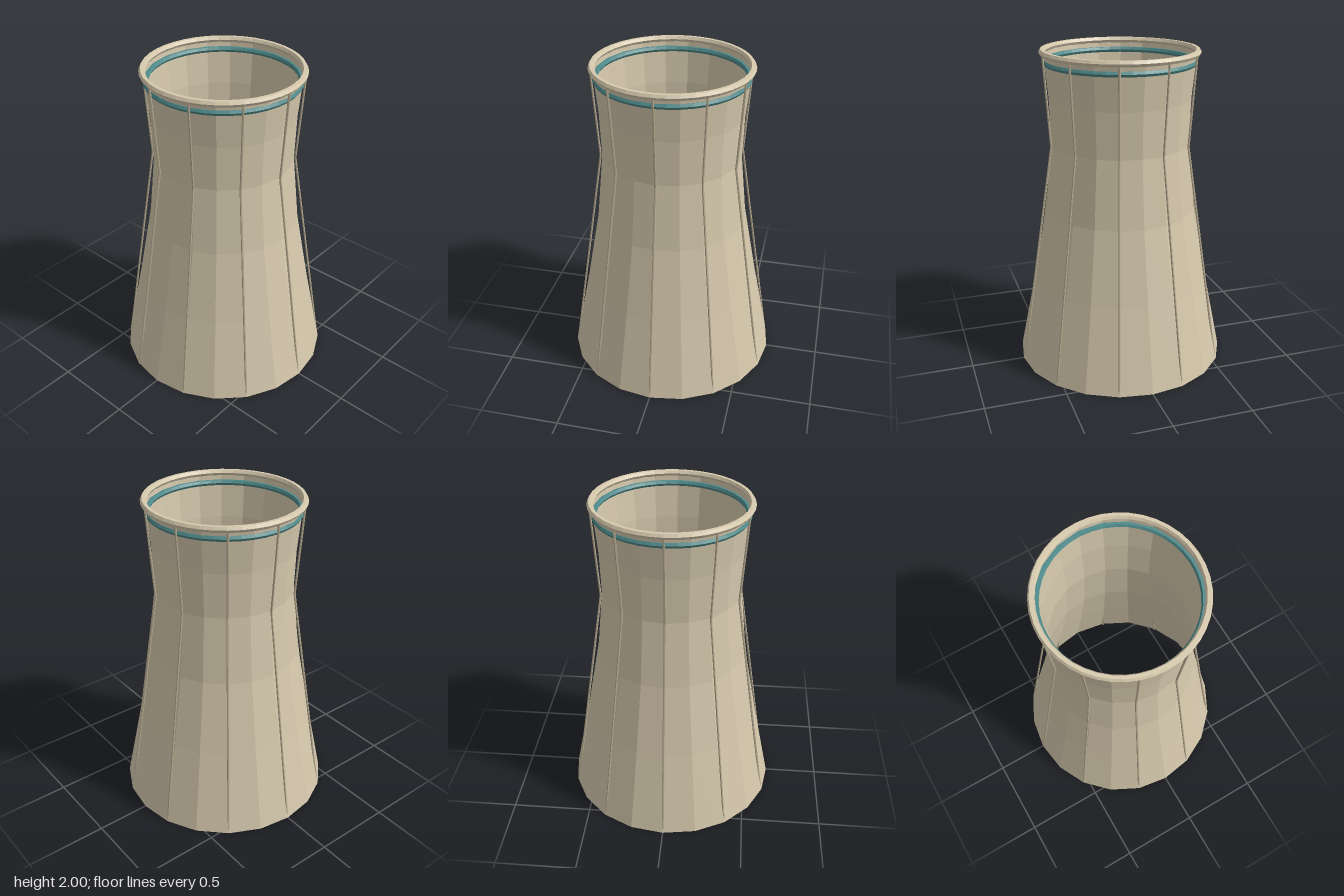
import * as THREE from 'three';

const concrete = new THREE.MeshStandardMaterial({ color: 0xd6c9ad, flatShading: true, side: THREE.DoubleSide });
concrete.name = 'concrete';
const ribConcrete = new THREE.MeshStandardMaterial({ color: 0xb8ac92, flatShading: true });
ribConcrete.name = 'rib concrete';
const teal = new THREE.MeshStandardMaterial({ color: 0x4f8a8b, flatShading: true });
teal.name = 'teal paint';

const V = (x, y) => new THREE.Vector3(x, y, 0);

// Straight round bar between two points
function bar(a, b, radius) {
  const dir = b.clone().sub(a);
  const mesh = new THREE.Mesh(new THREE.CylinderGeometry(radius, radius, dir.length(), 6), ribConcrete);
  mesh.position.copy(a).add(b).multiplyScalar(0.5);
  mesh.quaternion.setFromUnitVectors(new THREE.Vector3(0, 1, 0), dir.normalize());
  return mesh;
}

// Horizontal ring
function ring(name, radius, tube, y, material, sides) {
  const mesh = new THREE.Mesh(new THREE.TorusGeometry(radius, tube, sides, 40), material);
  mesh.name = name;
  mesh.rotation.x = Math.PI / 2;
  mesh.position.y = y;
  return mesh;
}

export function createModel() {
  const model = new THREE.Group();
  model.name = 'coolingTower';

  // Open, waisted shell with 20 sides
  const profile = [[0.665, 0], [0.555, 0.54], [0.471, 1.0], [0.429, 1.42], [0.437, 1.7], [0.463, 1.975]]
    .map(([r, y]) => new THREE.Vector2(r, y));
  const shell = new THREE.Mesh(new THREE.LatheGeometry(profile, 20), concrete);
  shell.name = 'shell';
  model.add(shell);

  // Rolled lip at the top and painted band just below it
  model.add(ring('topRim', 0.468, 0.02, 1.98, concrete, 6));
  model.add(ring('paintedBand', 0.45, 0.018, 1.92, teal, 6));

  // Ten ribs, each bent at the throat
  const foot = V(0.655, 0.015), throat = V(0.438, 1.42), head = V(0.474, 1.965);
  for (let i = 0; i < 10; i++) {
    const rib = new THREE.Group();
    rib.name = 'rib' + (i + 1);
    rib.add(bar(foot, throat, 0.007), bar(throat, head, 0.007));
    rib.children[0].name = 'lowerRib';
    rib.children[1].name = 'upperRib';
    rib.rotation.y = (i * Math.PI) / 5;
    model.add(rib);
  }
  return model;
}
